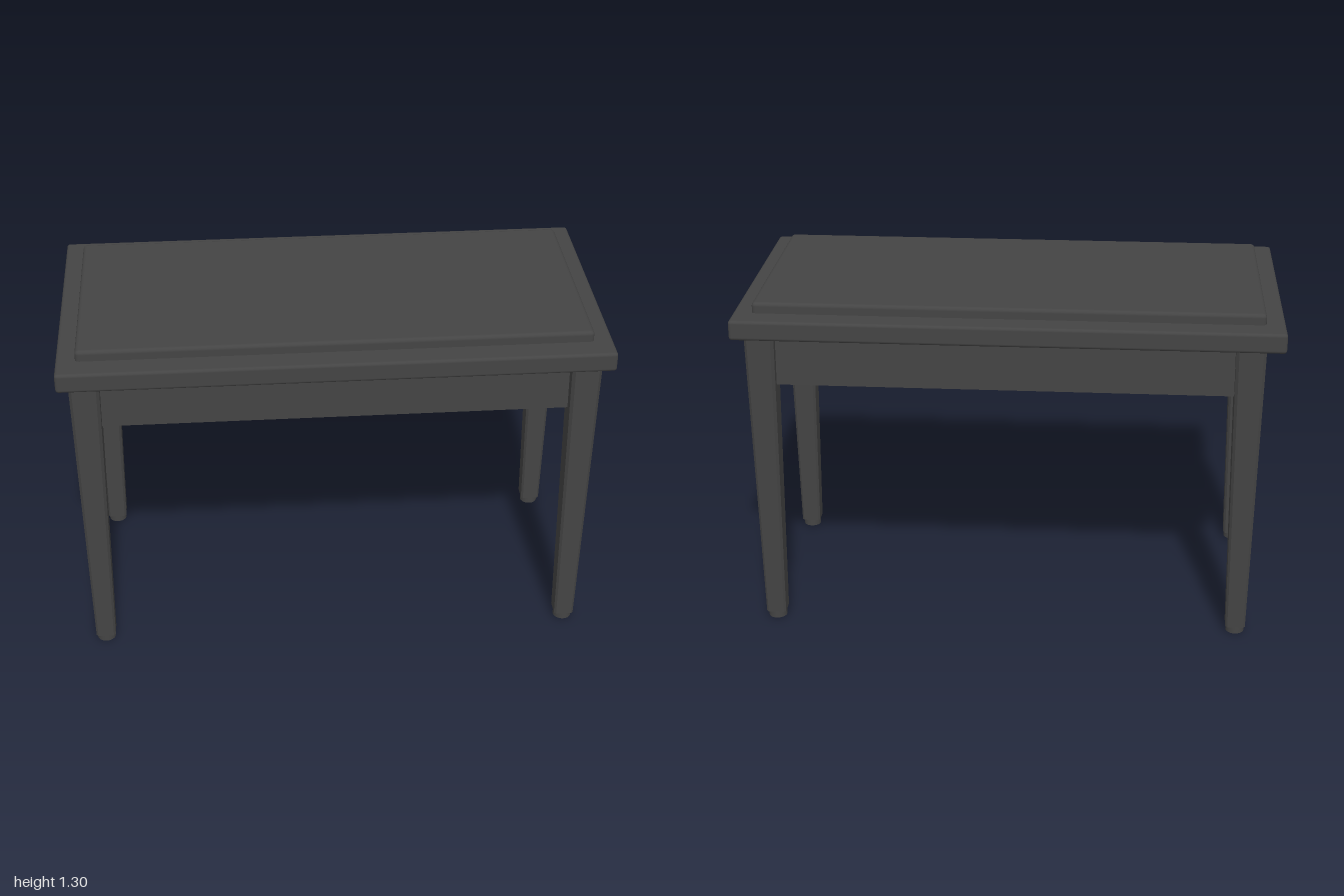
import * as THREE from 'three';
import { RoundedBoxGeometry } from 'three/addons/geometries/RoundedBoxGeometry.js';

const wood = new THREE.MeshStandardMaterial({ color: 0x444444 });

function addMesh(parent, name, geometry, x, y, z) {
  const mesh = new THREE.Mesh(geometry, wood);
  mesh.name = name;
  mesh.position.set(x, y, z);
  parent.add(mesh);
}

// Square post with chamfered corners, standing on y = 0 and narrowing downwards
function taperedPost(topHalf, bottomHalf, height, chamfer) {
  const h = topHalf, c = topHalf - chamfer;
  const outline = [[h, -c], [h, c], [c, h], [-c, h], [-h, c], [-h, -c], [-c, -h], [c, -h]];
  const shape = new THREE.Shape(outline.map(([x, y]) => new THREE.Vector2(x, y)));
  const geometry = new THREE.ExtrudeGeometry(shape, { depth: height, bevelEnabled: false });
  geometry.rotateX(-Math.PI / 2);
  const pos = geometry.attributes.position;
  for (let i = 0; i < pos.count; i++) {
    const s = THREE.MathUtils.lerp(bottomHalf / topHalf, 1, pos.getY(i) / height);
    pos.setX(i, pos.getX(i) * s);
    pos.setZ(i, pos.getZ(i) * s);
  }
  geometry.computeVertexNormals();
  return geometry;
}

export function createModel() {
  const table = new THREE.Group();
  table.name = 'table';

  // Top slab with a raised panel sunk slightly into it
  addMesh(table, 'tableTop', new RoundedBoxGeometry(2, 0.075, 1, 2, 0.012), 0, 1.2275, 0);
  addMesh(table, 'raisedPanel', new RoundedBoxGeometry(1.86, 0.08, 0.82, 2, 0.015), 0, 1.265, 0);

  // Closed apron box under the top
  addMesh(table, 'apron', new THREE.BoxGeometry(1.76, 0.215, 0.81), 0, 1.0925, 0);

  // Four tapered legs, each on a small round foot; the back pair sits slightly inwards
  const legGeometry = taperedPost(0.055, 0.0375, 1.165, 0.011);
  const footGeometry = new THREE.CylinderGeometry(0.035, 0.035, 0.035, 24);
  const corners = [
    ['frontLeft', 0.905, 0.4], ['frontRight', -0.905, 0.4],
    ['backLeft', 0.905, -0.387], ['backRight', -0.88, -0.387],
  ];
  for (const [name, x, z] of corners) {
    const leg = new THREE.Group();
    leg.name = name + 'Leg';
    leg.position.set(x, 0, z);
    addMesh(leg, 'post', legGeometry, 0, 0.028, 0);
    addMesh(leg, 'foot', footGeometry, 0, 0.0175, 0);
    table.add(leg);
  }
  return table;
}
